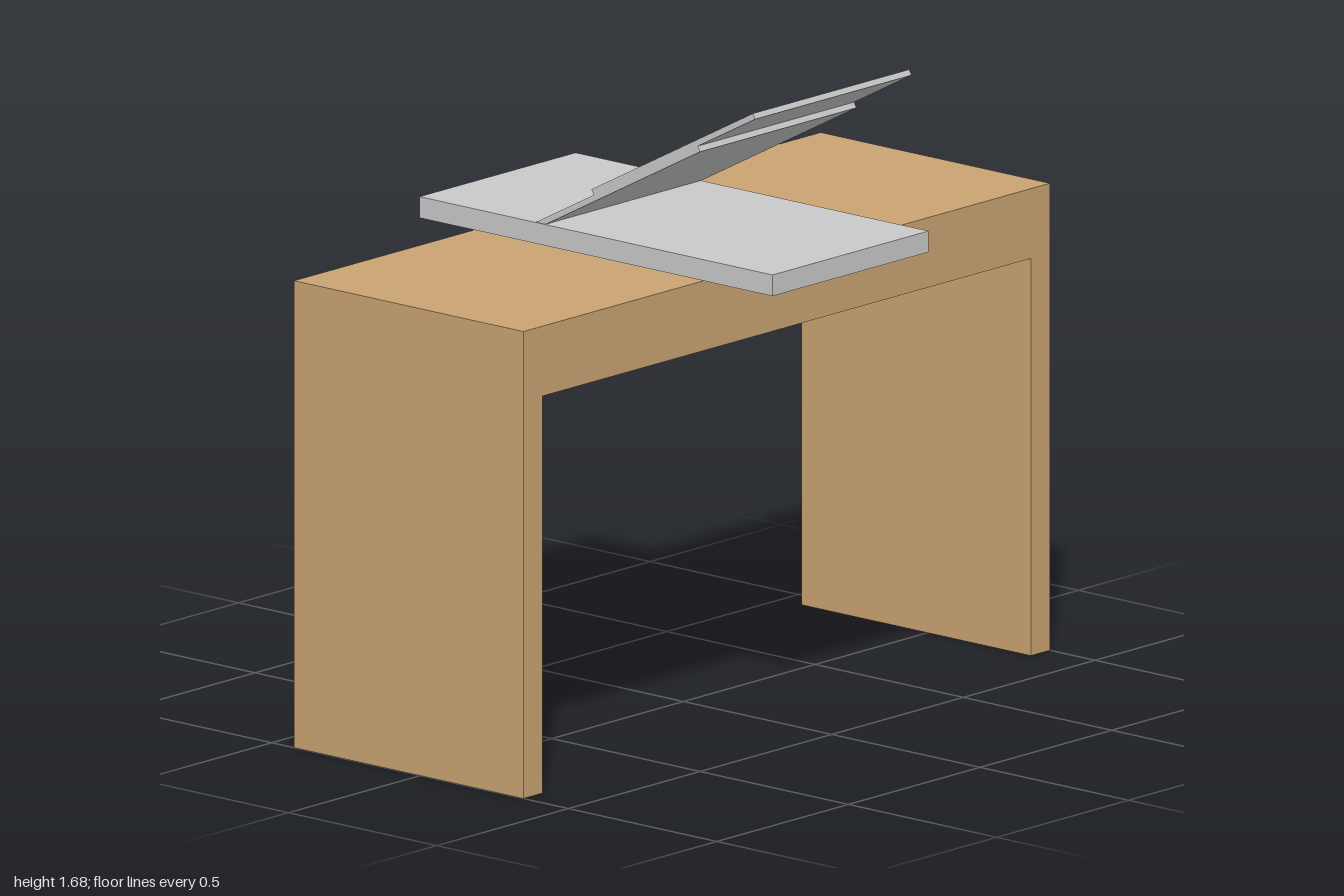
import * as THREE from 'three';

export function createModel() {
  const model = new THREE.Group();
  const wood = new THREE.MeshStandardMaterial({ color: 0xc8a272 });
  wood.name = 'wood';
  const grey = new THREE.MeshStandardMaterial({ color: 0xc8c8c8 });
  grey.name = 'light grey';

  // Box given by its [min, max] range on each axis
  function box(name, material, parent, [x0, x1], [y0, y1], [z0, z1]) {
    const geometry = new THREE.BoxGeometry(x1 - x0, y1 - y0, z1 - z0);
    geometry.translate((x0 + x1) / 2, (y0 + y1) / 2, (z0 + z1) / 2);
    const mesh = new THREE.Mesh(geometry, material);
    mesh.name = name;
    parent.add(mesh);
  }

  // Table: two slab legs with a thick top between them
  const table = new THREE.Group();
  table.name = 'table';
  const width = [-0.425, 0.348];
  box('frontLeg', wood, table, width, [0, 1.216], [0.927, 1]);
  box('backLeg', wood, table, width, [0, 1.216], [-1, -0.927]);
  box('tableTop', wood, table, width, [1.034, 1.216], [-0.927, 0.927]);
  model.add(table);

  // Flat board lying across the table
  box('baseBoard', grey, model, [-0.597, 0.593], [1.221, 1.276], [-0.263, 0.33]);

  // Sloping lid of two thin overlapping panels
  const lid = new THREE.Group();
  lid.name = 'slopingLid';
  lid.position.set(0.346, 1.5536, 0);
  lid.rotation.z = THREE.MathUtils.degToRad(28.1);
  const depth = [-0.267, 0.327];
  box('lowerPanel', grey, lid, [-0.618, 0], [0, 0.0155], depth);
  box('upperPanel', grey, lid, [-0.398, 0.219], [0.0155, 0.031], depth);
  model.add(lid);

  return model;
}
